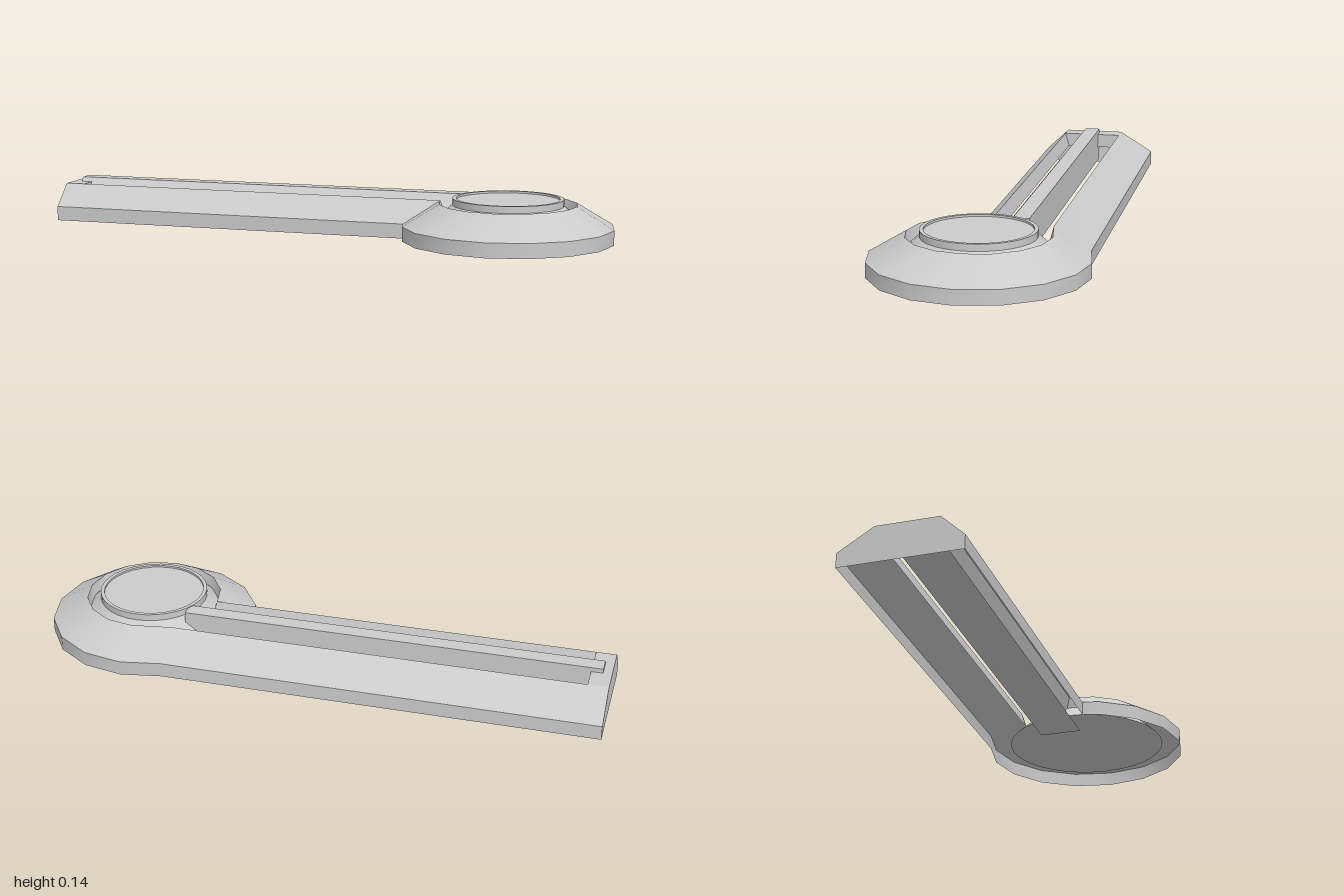
import * as THREE from 'three';
import { toCreasedNormals } from 'three/addons/utils/BufferGeometryUtils.js';

const material = new THREE.MeshStandardMaterial({ color: 0xcccccc, side: THREE.DoubleSide });
const CX = 0.64; // centre of the round head
const ROOF = 0.125, WALL = 0.05, LIP = 0.075;

function addMesh(parent, name, geometry) {
  const mesh = new THREE.Mesh(toCreasedNormals(geometry, 0.5), material);
  mesh.name = name;
  parent.add(mesh);
}

// Skin a surface over rows of [x, y, z] points
function loft(rows) {
  const positions = [];
  for (let r = 0; r < rows.length - 1; r++) {
    for (let i = 0; i < rows[r].length - 1; i++) {
      const a = rows[r][i], b = rows[r][i + 1];
      const c = rows[r + 1][i + 1], d = rows[r + 1][i];
      positions.push(...a, ...b, ...c, ...a, ...c, ...d);
    }
  }
  const geometry = new THREE.BufferGeometry();
  geometry.setAttribute('position', new THREE.Float32BufferAttribute(positions, 3));
  geometry.computeVertexNormals();
  return geometry;
}

// Keyhole outline: front edge of the arm, round the head, back edge of the arm
function outline(y, startX, frontZ, joinX, radius, backX, backZ) {
  const points = [[startX, y, frontZ], [joinX, y, frontZ]];
  for (let i = 7; i >= -4; i--) {
    const a = i * Math.PI / 8;
    points.push([CX + radius * Math.cos(a), y, radius * Math.sin(a)]);
  }
  points.push([backX, y, backZ], [startX, y, backZ]);
  return points;
}

export function createModel() {
  const group = new THREE.Group();

  // Hollow housing: upright wall, sloping bevel and inward lip
  const housing = new THREE.Group();
  housing.name = 'housing';
  group.add(housing);
  const outer = y => outline(y, -1, 0.08, 0.295, 0.36, 0.5, -0.335);
  addMesh(housing, 'outerShell', loft([
    outer(0), outer(WALL),
    outline(ROOF, -1, 0, 0.405, 0.235, 0.5, -0.213),
  ]));
  addMesh(housing, 'slotLip', loft([
    outline(ROOF, -0.93, 0, 0.405, 0.235, 0.5, -0.213),
    outline(LIP, -0.93, -0.015, 0.42, 0.222, 0.5, -0.2),
  ]));

  // Closed end of the arm
  addMesh(housing, 'endCap', loft([
    [[-1, 0, -0.335], [-1, 0, 0.08]],
    [[-1, WALL, -0.335], [-1, WALL, 0.08]],
    [[-1, ROOF, -0.213], [-1, ROOF, 0]],
  ]));
  addMesh(housing, 'endRoof', loft([
    [[-1, ROOF, 0], [-0.93, ROOF, 0]],
    [[-1, ROOF, -0.213], [-0.93, ROOF, -0.213]],
  ]));
  addMesh(housing, 'slotEnd', loft([
    [[-0.93, ROOF, -0.213], [-0.93, ROOF, 0]],
    [[-0.93, LIP, -0.2], [-0.93, LIP, -0.015]],
  ]));

  // Rail along the slot: upright back, sloping front
  const section = new THREE.Shape([[-0.02, 0.02], [0.13, 0.02], [0.13, 0.14], [0.075, 0.14]]
    .map(([x, y]) => new THREE.Vector2(x, y)));
  const rail = new THREE.ExtrudeGeometry(section, { depth: 1.45, bevelEnabled: false });
  rail.rotateY(Math.PI / 2).translate(-0.97, 0, 0);
  addMesh(group, 'rail', rail);

  // Round button with flared base and shallow rim
  const profile = [[0, 0.03], [0.287, 0.03], [0.188, 0.12], [0.188, 0.143],
    [0.175, 0.143], [0.175, 0.136], [0, 0.136]];
  const button = new THREE.LatheGeometry(profile.map(([x, y]) => new THREE.Vector2(x, y)), 32);
  button.translate(CX, 0, 0);
  addMesh(group, 'button', button);

  return group;
}
